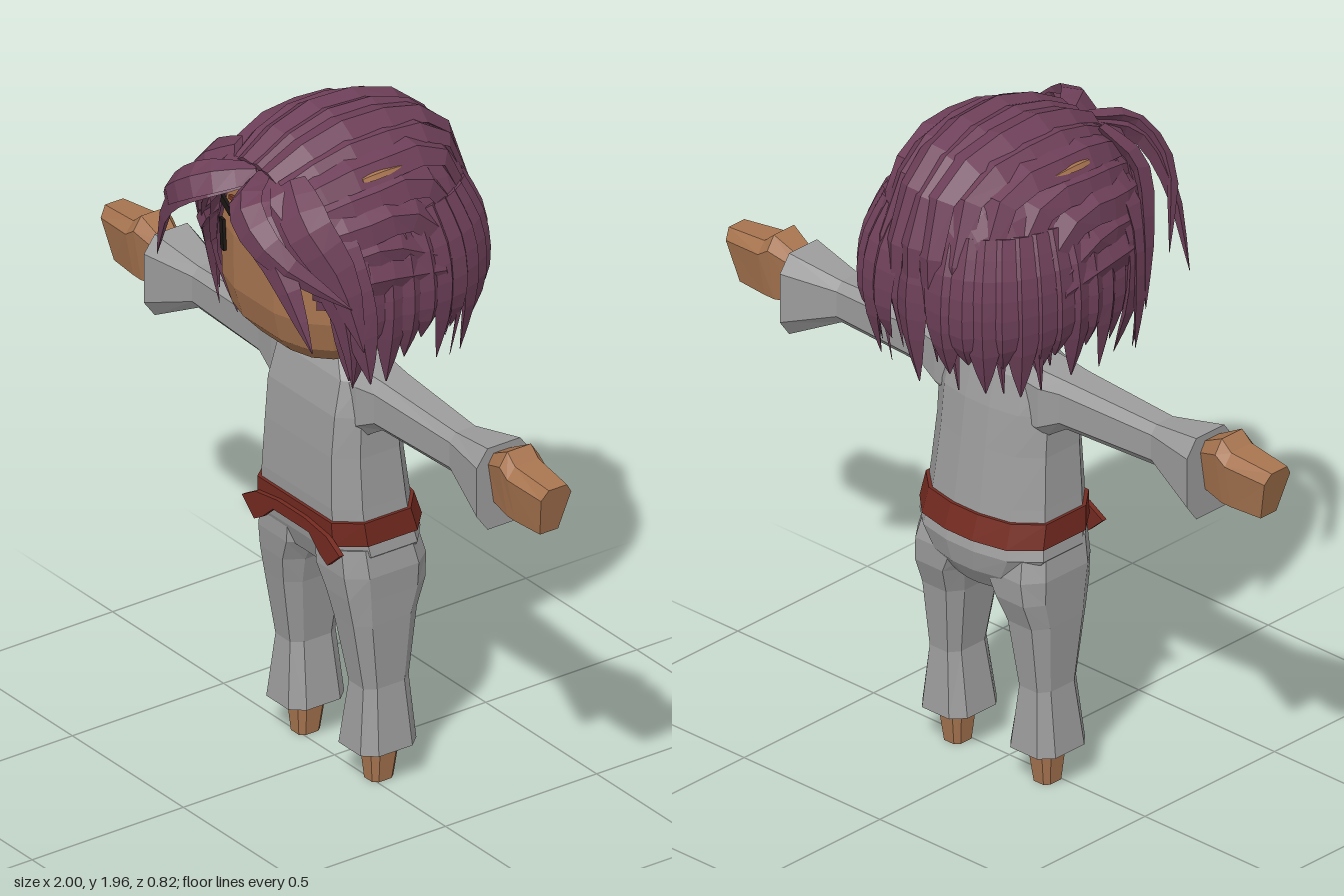
import * as THREE from 'three';

const V = (x, y, z) => new THREE.Vector3(x, y, z);
const mat = (name, color) => {
  const m = new THREE.MeshStandardMaterial({ color });
  m.name = name;
  m.flatShading = true;
  return m;
};

// Unit outlines for cross-sections: chamfered box, round-backed trunk, fist and rounded square
const OCTAGON = [[1, -0.6], [1, 0.6], [0.6, 1], [-0.6, 1], [-1, 0.6], [-1, -0.6], [-0.6, -1], [0.6, -1]];
const TRUNK = [[1, -0.45], [1, 0.55], [0.75, 1], [-0.75, 1], [-1, 0.55], [-1, -0.45],
  [-0.68, -0.86], [-0.22, -1], [0.22, -1], [0.68, -0.86]];
const FIST = [[1, 0.6], [0.6, 1], [-0.6, 1], [-1, 0.6], [-0.6, -1], [0.6, -1]];
const ROUNDED = Array.from({ length: 16 }, (_, i) => {
  const a = ((i + 0.5) / 16) * Math.PI * 2;
  const f = (v) => Math.sign(v) * Math.abs(v) ** 0.68;
  return [f(Math.cos(a)), f(Math.sin(a))];
});

// Skin a list of rings into a closed faceted solid
function skin(rings) {
  const p = [], n = rings[0].length;
  const tri = (...vs) => vs.forEach((v) => p.push(v.x, v.y, v.z));
  const mid = (r) => r.reduce((s, v) => s.add(v), V(0, 0, 0)).divideScalar(n);
  const first = rings[0], last = rings[rings.length - 1], c0 = mid(first), c1 = mid(last);
  for (let j = 0; j < n; j++) {
    const k = (j + 1) % n;
    for (let i = 0; i + 1 < rings.length; i++) {
      const a = rings[i], b = rings[i + 1];
      tri(a[j], b[j], a[k]);
      tri(a[k], b[j], b[k]);
    }
    tri(c0, first[j], first[k]);
    tri(c1, last[k], last[j]);
  }
  const g = new THREE.BufferGeometry();
  g.setAttribute('position', new THREE.Float32BufferAttribute(p, 3));
  g.computeVertexNormals();
  return g;
}

// Sections are [position, aMin, aMax, bMin, bMax]; a,b = x,z upright or z,y along x
function loft(sections, along = 'y', outline = OCTAGON) {
  return skin(sections.map(([p, a0, a1, b0, b1]) => outline.map(([u, v]) => {
    const a = (a0 + a1) / 2 + (u * (a1 - a0)) / 2;
    const b = (b0 + b1) / 2 + (v * (b1 - b0)) / 2;
    return along === 'y' ? V(a, p, b) : V(p, b, a);
  })));
}

// Mirror across x, keeping faces outward
function mirror(geo) {
  const g = geo.index ? geo.toNonIndexed() : geo.clone();
  g.scale(-1, 1, 1);
  const p = g.attributes.position;
  for (let i = 0; i < p.count; i += 3) {
    const b = V(0, 0, 0).fromBufferAttribute(p, i + 1), c = V(0, 0, 0).fromBufferAttribute(p, i + 2);
    p.setXYZ(i + 1, c.x, c.y, c.z);
    p.setXYZ(i + 2, b.x, b.y, b.z);
  }
  g.computeVertexNormals();
  return g;
}

// A flat tapering lock of hair following a path over the head
function lock(points, width, thick) {
  const curve = new THREE.CatmullRomCurve3(points), rings = [], N = 8;
  for (let i = 0; i <= N; i++) {
    const t = i / N, c = curve.getPoint(t), T = curve.getTangent(t);
    const O = c.clone().sub(V(0, 1.58, -0.02));
    O.addScaledVector(T, -O.dot(T)).normalize();
    const S = T.clone().cross(O);
    const k = Math.max(0.03, t < 0.2 ? 0.6 + 2 * t : 1 - ((t - 0.2) / 0.8) ** 2.8);
    rings.push([[1, 0], [0, 1], [-1, 0], [0, -1]].map(([u, v]) =>
      c.clone().addScaledVector(S, u * width * k).addScaledVector(O, v * thick * k)));
  }
  return skin(rings);
}

// Point on the hair volume: roll around the head, sweep from front to back
function shell(roll, sweep, k = 1) {
  const r = roll * Math.PI / 180, a = sweep * Math.PI / 180, s = Math.sin(a) ** 0.6 * k;
  return V(0.325 * Math.sin(r) * s, 1.58 + 0.365 * Math.cos(r) * s, -0.02 + 0.36 * k * Math.cos(a));
}

export function createModel() {
  const root = new THREE.Group();
  root.name = 'figure';
  const skinMat = mat('skin', 0xa87550), cloth = mat('greyCloth', 0x9c9c9c);
  const hairMat = mat('hair', 0x6e4059), sash = mat('redSash', 0x732a20), dark = mat('darkFeatures', 0x1c1715);
  const browMat = mat('brows', 0x7a3a26);
  hairMat.side = THREE.DoubleSide;
  const add = (name, geo, m, parent = root) => {
    const mesh = new THREE.Mesh(geo, m);
    mesh.name = name;
    parent.add(mesh);
  };
  const pair = (name, geo, m, parent = root) => {
    add(name + 'Left', geo, m, parent);
    add(name + 'Right', mirror(geo), m, parent);
  };

  // Clothes
  add('torso', loft([[0.74, -0.22, 0.22, -0.175, 0.12], [0.85, -0.21, 0.21, -0.16, 0.125],
    [1.0, -0.2, 0.2, -0.14, 0.12], [1.12, -0.2, 0.2, -0.125, 0.11],
    [1.22, -0.19, 0.19, -0.1, 0.085], [1.265, -0.13, 0.13, -0.07, 0.06]], 'y', TRUNK), cloth);
  add('pelvis', loft([[0.585, -0.09, 0.09, -0.14, -0.02], [0.645, -0.18, 0.18, -0.18, 0.09],
    [0.71, -0.228, 0.228, -0.192, 0.115], [0.76, -0.22, 0.22, -0.18, 0.122]], 'y', TRUNK), cloth);
  pair('trouserLeg', loft([[0.11, 0.08, 0.245, -0.115, 0.07], [0.3, 0.11, 0.22, -0.1, 0.05],
    [0.5, 0.085, 0.23, -0.125, 0.085], [0.58, 0.065, 0.233, -0.155, 0.1],
    [0.65, 0.025, 0.236, -0.16, 0.11], [0.73, 0.02, 0.222, -0.14, 0.11]]), cloth);
  pair('sleeve', loft([[0.08, -0.08, 0.07, 1.04, 1.265], [0.19, -0.09, 0.07, 1.06, 1.255],
    [0.26, -0.08, 0.06, 1.105, 1.25], [0.58, -0.06, 0.045, 1.11, 1.235],
    [0.75, -0.1, 0.08, 1.02, 1.265]], 'x'), cloth);

  // Hands and feet
  const hand = loft([[0.74, -0.045, 0.04, 1.1, 1.24], [0.825, -0.07, 0.06, 1.09, 1.285],
    [0.86, -0.07, 0.06, 1.09, 1.255], [0.98, -0.055, 0.045, 1.09, 1.24]], 'x', FIST);
  const hp = hand.attributes.position;
  for (let i = 0; i < hp.count; i++) { // slant the fingertips
    if (hp.getX(i) > 0.9) hp.setX(i, hp.getX(i) + (hp.getY(i) - 1.165) * 0.27);
  }
  hand.computeVertexNormals();
  pair('hand', hand, skinMat);
  pair('foot', loft([[0, 0.135, 0.195, -0.06, 0.01], [0.13, 0.12, 0.21, -0.078, 0.022]]), skinMat);

  // Sash with two loose ends
  add('sash', loft([[0.745, -0.228, 0.228, -0.198, 0.13], [0.815, -0.222, 0.222, -0.174, 0.133]], 'y', TRUNK), sash);
  const tail = new THREE.Shape([[0, 0.755], [0.08, 0.755], [0.13, 0.71], [0.165, 0.69], [0.22, 0.74],
    [0.16, 0.775], [0.06, 0.79], [0, 0.79]].map(([x, y]) => new THREE.Vector2(x, y)));
  pair('sashEnd', new THREE.ExtrudeGeometry(tail, { depth: 0.015, bevelEnabled: false }).translate(0, 0, 0.13), sash);

  // Head and neck
  add('neck', loft([[1.22, -0.1, 0.1, -0.08, 0.06], [1.34, -0.085, 0.085, -0.07, 0.06]]), skinMat);
  add('head', loft([[1.29, 0.14, 0.13], [1.315, 0.2, 0.19], [1.37, 0.25, 0.24], [1.46, 0.272, 0.265], [1.62, 0.27, 0.268],
    [1.74, 0.245, 0.25], [1.82, 0.18, 0.19], [1.86, 0.09, 0.1]]
    .map(([y, x, z]) => [y, -x, x, -z, z + 0.005]), 'y', ROUNDED), skinMat);
  const plate = (w, h, x, y, z, yaw, roll) =>
    new THREE.BoxGeometry(w, h, 0.009).rotateZ(roll).rotateY(yaw).translate(x, y, z);
  pair('eye', plate(0.026, 0.09, 0.15, 1.595, 0.259, 0.3, -0.12), dark);
  pair('eyelid', plate(0.07, 0.025, 0.14, 1.685, 0.254, 0.3, 0.12), dark);
  pair('brow', plate(0.08, 0.012, 0.09, 1.72, 0.257, 0.15, -0.15), browMat);

  // Hair base under the locks
  const hair = new THREE.Group();
  hair.name = 'hair';
  root.add(hair);
  const cap = new THREE.PlaneGeometry(1, 1, 16, 12), cp = cap.attributes.position;
  for (let i = 0; i < cp.count; i++) {
    const q = shell(cp.getX(i) * 204, 104 - cp.getY(i) * 124, 0.955);
    cp.setXYZ(i, q.x, q.y, q.z);
  }
  cap.computeVertexNormals();
  add('hairBase', cap, hairMat, hair);

  // Locks swept from the brow over the crown, falling diagonally at the sides
  for (let i = -7; i <= 7; i++) {
    const roll = i * 12.3, odd = Math.abs(i % 2), s = Math.sin(roll * Math.PI / 180);
    const x = 0.31 * s, z = -0.01 - 0.37 * Math.sqrt(1 - (x / 0.34) ** 2), end = 145 - 70 * s * s;
    const pts = [0, 1, 2, 3].map((k) => shell(roll, 40 + (end - 40) * k / 3, 0.985 + 0.02 * odd));
    pts.push(V(x * 1.02, 1.63 - 0.09 * Math.abs(s), z * 1.02), V(x * 0.95, 1.28 + 0.07 * odd, z * 0.92));
    add('sweptLock', lock(pts, 0.056, 0.024), hairMat, hair);
  }

  // Slivers of scalp showing between the swept locks
  pair('scalp', lock([76, 86, 96].map((a) => shell(42, a, 1.045)), 0.014, 0.006), skinMat, hair);

  // Locks hanging round the sides and back, tucked under the swept ones
  for (let i = 0; i < 25; i++) {
    const a = (-36 + i * 10.5) * Math.PI / 180, c = Math.cos(a);
    const x = 0.305 * Math.sign(c) * Math.abs(c) ** 0.6, z = -0.04 - 0.325 * Math.sin(a);
    const tip = 1.27 + [0.02, 0.09, 0, 0.06, 0.1][i % 5];
    add('hangingLock', lock([V(x * 0.88, 1.74, z * 0.88), V(x * 1.02, 1.6, z * 1.01),
      V(x * 1.05, 1.46, z * 1.03), V(x * 0.97, tip, z * 0.95)], 0.062, 0.026), hairMat, hair);
  }

  // Parted fringe: [path, half width]
  [[[[0.01, 1.84, 0.25], [0.1, 1.82, 0.37], [0.23, 1.73, 0.375], [0.38, 1.58, 0.22]], 0.055],
    [[[0.02, 1.83, 0.26], [0.13, 1.79, 0.36], [0.25, 1.68, 0.36], [0.35, 1.47, 0.33]], 0.055],
    [[[0.0, 1.83, 0.25], [0.11, 1.81, 0.29], [0.24, 1.69, 0.25], [0.31, 1.5, 0.19], [0.3, 1.29, 0.16]], 0.05],
    [[[0.12, 1.86, 0.23], [0.23, 1.78, 0.26], [0.31, 1.64, 0.21], [0.35, 1.42, 0.16]], 0.065],
    [[[0.2, 1.8, 0.19], [0.29, 1.66, 0.19], [0.33, 1.5, 0.16], [0.34, 1.31, 0.13]], 0.065],
    [[[0.22, 1.76, 0.16], [0.29, 1.64, 0.17], [0.31, 1.46, 0.15], [0.26, 1.27, 0.13]], 0.06],
  ].forEach(([path, w]) => pair('fringeLock', lock(path.map((p) => V(...p)), w, 0.024), hairMat, hair));

  return root;
}
